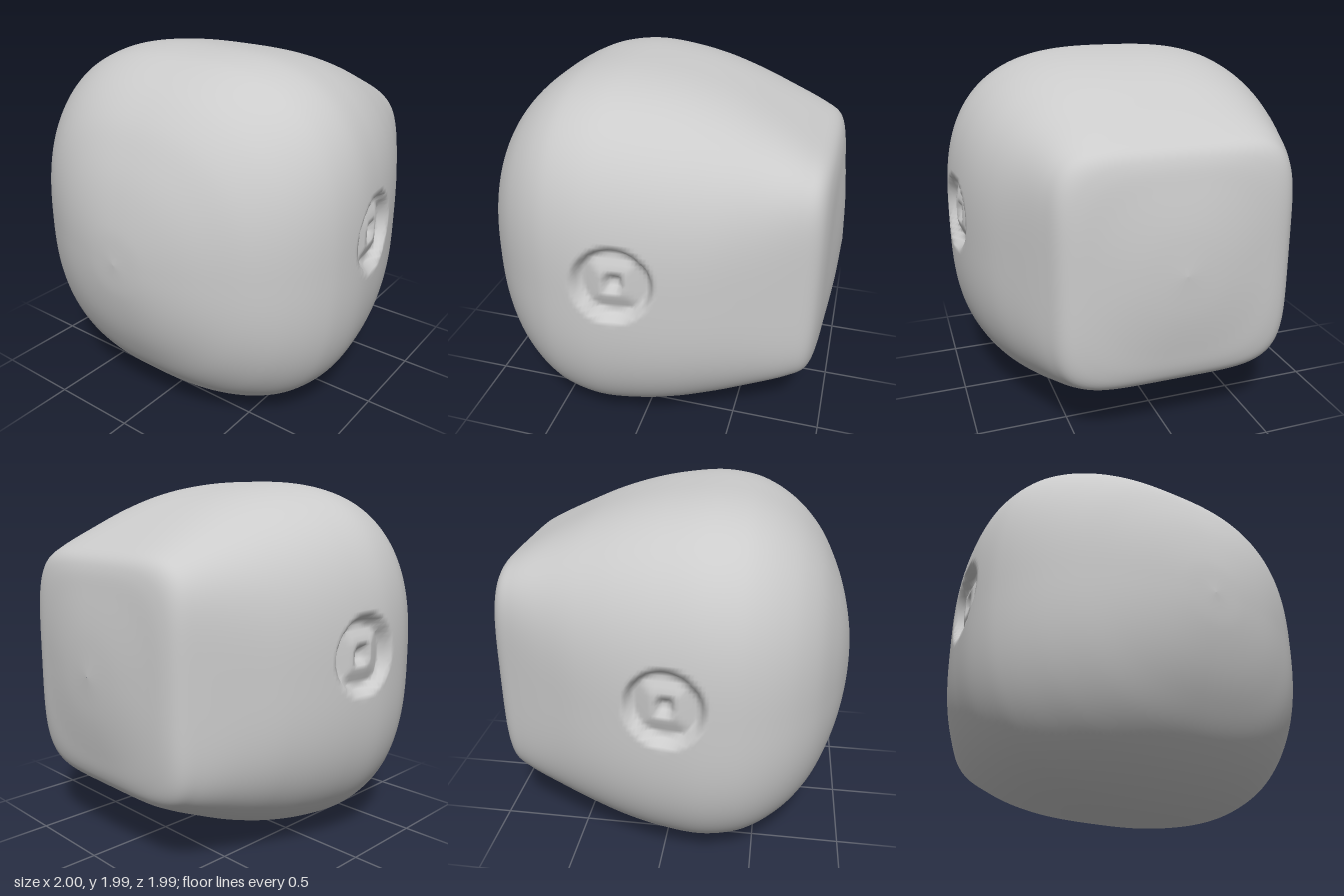
import * as THREE from 'three';

const RINGS = 180, SIDES = 240, MID_Y = 0.995;

// sections along x: [x, half-height, roundness], roundness 0.5 is a circle and 0 a square
const SECTIONS = [
  [-1, 0, 0.46], [-0.985, 0.19, 0.445], [-0.94, 0.39, 0.425], [-0.88, 0.545, 0.405],
  [-0.8, 0.69, 0.39], [-0.7, 0.805, 0.375], [-0.6, 0.883, 0.365], [-0.5, 0.937, 0.355],
  [-0.4, 0.972, 0.35], [-0.22, 0.995, 0.345], [0, 0.977, 0.345], [0.2, 0.937, 0.343],
  [0.4, 0.872, 0.33], [0.6, 0.78, 0.285], [0.8, 0.677, 0.22], [0.88, 0.629, 0.2],
  [0.91, 0.598, 0.215], [0.934, 0.545, 0.26], [0.958, 0.425, 0.36], [0.985, 0.235, 0.45], [1, 0, 0.5],
];

// round socket holding a raised square boss with a small pit, one on each z side
function socketDepth(x, y) {
  const dx = Math.abs(x + 0.055), dy = Math.abs(y - 1.1);
  const round = Math.hypot(dx, dy), square = Math.max(dx, dy);
  const { smoothstep, clamp } = THREE.MathUtils;
  const recess = 0.065 * (1 - smoothstep(round, 0.17, 0.215));
  const boss = 0.035 * (1 - clamp((square - 0.06) / 0.1, 0, 1));
  const pit = 0.05 * (1 - smoothstep(square, 0.015, 0.06));
  return recess - boss + pit;
}

function bodyGeometry() {
  const curve = new THREE.CatmullRomCurve3(SECTIONS.map((s) => new THREE.Vector3(...s)));
  curve.arcLengthDivisions = 800;
  const positions = [], index = [];
  for (const section of curve.getSpacedPoints(RINGS)) {
    const n = 1 / section.z;
    const h = Math.max(section.y, 0.0005);
    for (let j = 0; j < SIDES; j++) {
      const a = (j / SIDES) * Math.PI * 2, c = Math.cos(a), s = Math.sin(a);
      const r = h / Math.pow(Math.abs(c) ** n + Math.abs(s) ** n, 1 / n);
      const y = MID_Y + r * s;
      let z = r * c;
      if (Math.abs(z) > 0.7) z -= Math.sign(z) * socketDepth(section.x, y);
      positions.push(section.x, y, z);
    }
  }
  for (let i = 0; i < RINGS; i++) {
    for (let j = 0; j < SIDES; j++) {
      const k = (j + 1) % SIDES;
      const a = i * SIDES + j, b = a + SIDES, c = (i + 1) * SIDES + k, d = i * SIDES + k;
      index.push(a, b, c, a, c, d);
    }
  }
  const geometry = new THREE.BufferGeometry();
  geometry.setAttribute('position', new THREE.Float32BufferAttribute(positions, 3));
  geometry.setIndex(index);
  geometry.computeVertexNormals();
  return geometry;
}

export function createModel() {
  const group = new THREE.Group();
  group.name = 'roundedBlock';
  const body = new THREE.Mesh(bodyGeometry(), new THREE.MeshStandardMaterial({ color: 0xcccccc }));
  body.name = 'bodyWithSockets';
  group.add(body);
  return group;
}
